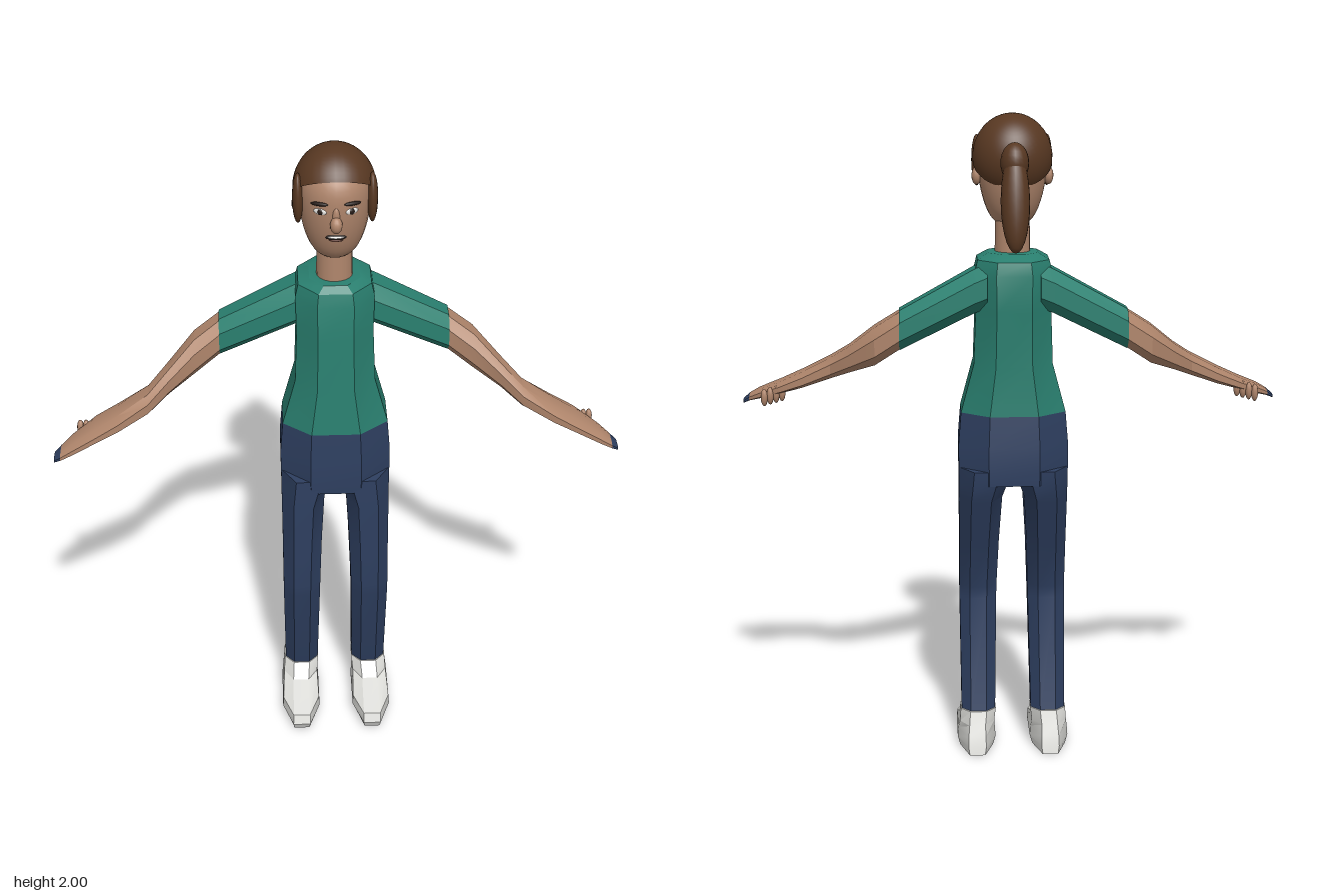
import * as THREE from 'three';
import { toCreasedNormals } from 'three/addons/utils/BufferGeometryUtils.js';

function material(name, color) {
  const m = new THREE.MeshStandardMaterial({ color });
  m.name = name;
  return m;
}

// Eight-sided loft along an axis. Each ring is [w, u0, u1, v0, v1], w ascending.
// For axis y: u = z, v = x. For axis x: u = y, v = z. side -1 mirrors it in x.
function loft(axis, rings, side = 1, bevel = 0.27) {
  if (side < 0) {
    rings = axis === 'x'
      ? rings.map(([w, ...r]) => [-w, ...r]).reverse()
      : rings.map(([w, a, b, c, d]) => [w, a, b, -d, -c]);
  }
  const pos = [], index = [], n = 8;
  for (const [w, u0, u1, v0, v1] of rings) {
    const du = (u1 - u0) * bevel, dv = (v1 - v0) * bevel;
    const outline = [
      [u1, v0 + dv], [u1, v1 - dv], [u1 - du, v1], [u0 + du, v1],
      [u0, v1 - dv], [u0, v0 + dv], [u0 + du, v0], [u1 - du, v0],
    ];
    for (const [u, v] of outline) pos.push(...(axis === 'x' ? [w, u, v] : [v, w, u]));
  }
  for (let i = 0; i < rings.length - 1; i++) {
    for (let j = 0; j < n; j++) {
      const a = i * n + j, b = i * n + (j + 1) % n;
      index.push(a, b, b + n, a, b + n, a + n);
    }
  }
  const top = (rings.length - 1) * n;
  for (let j = 1; j < n - 1; j++) {
    index.push(0, j + 1, j, top, top + j, top + j + 1);
  }
  const g = new THREE.BufferGeometry();
  g.setAttribute('position', new THREE.Float32BufferAttribute(pos, 3));
  g.setIndex(index);
  return toCreasedNormals(g, 0.45);
}

export function createModel() {
  const skin = material('skin', 0xb0866c);
  const hair = material('hair', 0x583822);
  const shirt = material('shirt', 0x2a8070);
  const jeans = material('jeans', 0x2e3f60);
  const shoe = material('shoe', 0xdededa);
  const dark = material('dark', 0x241a16);
  const white = material('eyeWhite', 0xe6e4e0);
  const lip = material('lip', 0x7a4a3e);
  const model = new THREE.Group();
  model.name = 'person';

  function add(name, geometry, mat) {
    const mesh = new THREE.Mesh(geometry, mat);
    mesh.name = name;
    model.add(mesh);
    return mesh;
  }
  function ellipsoid(name, mat, [x, y, z], [rx, ry, rz], segments = 20) {
    const mesh = add(name, new THREE.SphereGeometry(1, segments, Math.ceil(segments * 0.7)), mat);
    mesh.position.set(x, y, z);
    mesh.scale.set(rx, ry, rz);
    return mesh;
  }

  // Torso and hips
  add('shirtBody', loft('y', [
    [1.10, -0.135, 0.127, -0.16, 0.16],
    [1.25, -0.13, 0.118, -0.12, 0.12],
    [1.42, -0.145, 0.113, -0.114, 0.114],
    [1.53, -0.15, 0.105, -0.117, 0.117],
    [1.57, -0.14, 0.095, -0.108, 0.108],
    [1.588, -0.095, 0.075, -0.075, 0.075],
  ]), shirt);
  add('hips', loft('y', [
    [0.885, -0.145, 0.133, -0.165, 0.165],
    [0.93, -0.148, 0.135, -0.168, 0.168],
    [1.0, -0.145, 0.133, -0.168, 0.168],
    [1.10, -0.135, 0.127, -0.16, 0.16],
  ]), jeans);

  // Neck and head
  const neck = add('neck', new THREE.CylinderGeometry(0.052, 0.054, 0.14, 20), skin);
  neck.position.set(0, 1.63, -0.003);
  const profile = [[0, 1.66], [0.03, 1.663], [0.058, 1.682], [0.08, 1.72], [0.097, 1.78],
    [0.105, 1.85], [0.1, 1.91], [0.07, 1.955], [0, 1.975]].map(p => new THREE.Vector2(...p));
  const headCurve = new THREE.SplineCurve(profile).getPoints(24);
  headCurve.forEach(p => { p.x = Math.max(0, p.x); });
  const head = add('head', new THREE.LatheGeometry(headCurve, 28), skin);
  head.scale.z = 1.1;
  head.position.z = 0.008;

  // Hair: tilted cap, knot and ponytail
  const capGeometry = new THREE.SphereGeometry(1, 32, 16, 0, Math.PI * 2, 0, 1.66);
  capGeometry.rotateX(-0.62);
  hair.side = THREE.DoubleSide;
  const cap = add('hairCap', capGeometry, hair);
  cap.position.set(0, 1.87, 0);
  cap.scale.set(0.12, 0.13, 0.124);
  ellipsoid('ponytailKnot', hair, [0, 1.865, -0.145], [0.042, 0.06, 0.05]);
  ellipsoid('ponytail', hair, [0, 1.755, -0.183], [0.043, 0.15, 0.044]).rotation.x = 0.2;

  // Face
  ellipsoid('nose', skin, [0, 1.812, 0.127], [0.018, 0.025, 0.021], 14);
  ellipsoid('noseBridge', skin, [0, 1.835, 0.12], [0.011, 0.03, 0.01], 12);
  ellipsoid('mouth', dark, [0, 1.765, 0.109], [0.03, 0.009, 0.006], 14);
  ellipsoid('teeth', white, [0, 1.766, 0.112], [0.024, 0.004, 0.005], 12);
  ellipsoid('lowerLip', lip, [0, 1.755, 0.107], [0.02, 0.005, 0.007], 12);

  for (const s of [1, -1]) {
    const side = s > 0 ? 'left' : 'right';
    // Eye, brow, ear and side lock
    ellipsoid(side + 'Eye', white, [s * 0.045, 1.848, 0.111], [0.02, 0.01, 0.005], 14).rotation.y = s * 0.45;
    ellipsoid(side + 'Iris', dark, [s * 0.045, 1.848, 0.114], [0.009, 0.009, 0.004], 12).rotation.y = s * 0.45;
    const brow = ellipsoid(side + 'Brow', dark, [s * 0.047, 1.872, 0.111], [0.027, 0.006, 0.007], 12);
    brow.rotation.set(0, s * 0.45, s * -0.08);
    ellipsoid(side + 'Ear', skin, [s * 0.108, 1.815, -0.008], [0.015, 0.027, 0.02], 14);
    ellipsoid(side + 'SideLock', hair, [s * 0.106, 1.857, 0.042], [0.016, 0.077, 0.033]);

    // Sleeve, arm with flat hand, dark fingertip
    add(side + 'Sleeve', loft('x', [
      [0.08, 1.425, 1.56, -0.13, 0.03],
      [0.12, 1.41, 1.543, -0.13, 0.03],
      [0.345, 1.30, 1.42, -0.122, 0.003],
    ], s), shirt);
    add(side + 'Arm', loft('x', [
      [0.34, 1.305, 1.418, -0.12, 0.001],
      [0.42, 1.25, 1.365, -0.10, 0.03],
      [0.5, 1.215, 1.295, -0.03, 0.085],
      [0.56, 1.185, 1.25, 0.03, 0.143],
      [0.65, 1.15, 1.20, 0.053, 0.18],
      [0.72, 1.128, 1.165, 0.073, 0.202],
      [0.79, 1.103, 1.132, 0.125, 0.222],
      [0.822, 1.092, 1.112, 0.155, 0.226],
    ], s), skin);
    add(side + 'Fingertip', loft('x', [
      [0.822, 1.092, 1.112, 0.155, 0.226],
      [0.842, 1.083, 1.095, 0.168, 0.218],
    ], s), jeans);
    // Small curled fingers beside the hand
    for (let i = 0; i < 4; i++) {
      ellipsoid(side + 'Finger' + (i + 1), skin,
        [s * (0.715 + i * 0.018), 1.132 - i * 0.004, 0.105 - i * 0.006], [0.011, 0.028, 0.014], 10);
    }

    // Trouser leg, bent at the knee
    add(side + 'Leg', loft('y', [
      [0.12, -0.075, 0.04, 0.057, 0.163],
      [0.48, -0.003, 0.126, 0.05, 0.166],
      [0.52, -0.005, 0.131, 0.049, 0.166],
      [0.68, -0.068, 0.133, 0.043, 0.166],
      [0.83, -0.125, 0.135, 0.034, 0.167],
      [0.87, -0.14, 0.134, 0.02, 0.167],
      [0.93, -0.146, 0.133, 0, 0.167],
    ], s), jeans);

    // Shoe
    add(side + 'Shoe', loft('y', [
      [0, -0.122, 0.222, 0.063, 0.168],
      [0.025, -0.116, 0.234, 0.055, 0.176],
      [0.055, -0.107, 0.222, 0.057, 0.174],
      [0.088, -0.094, 0.085, 0.06, 0.169],
      [0.13, -0.08, 0.046, 0.055, 0.166],
    ], s), shoe);
  }
  return model;
}
